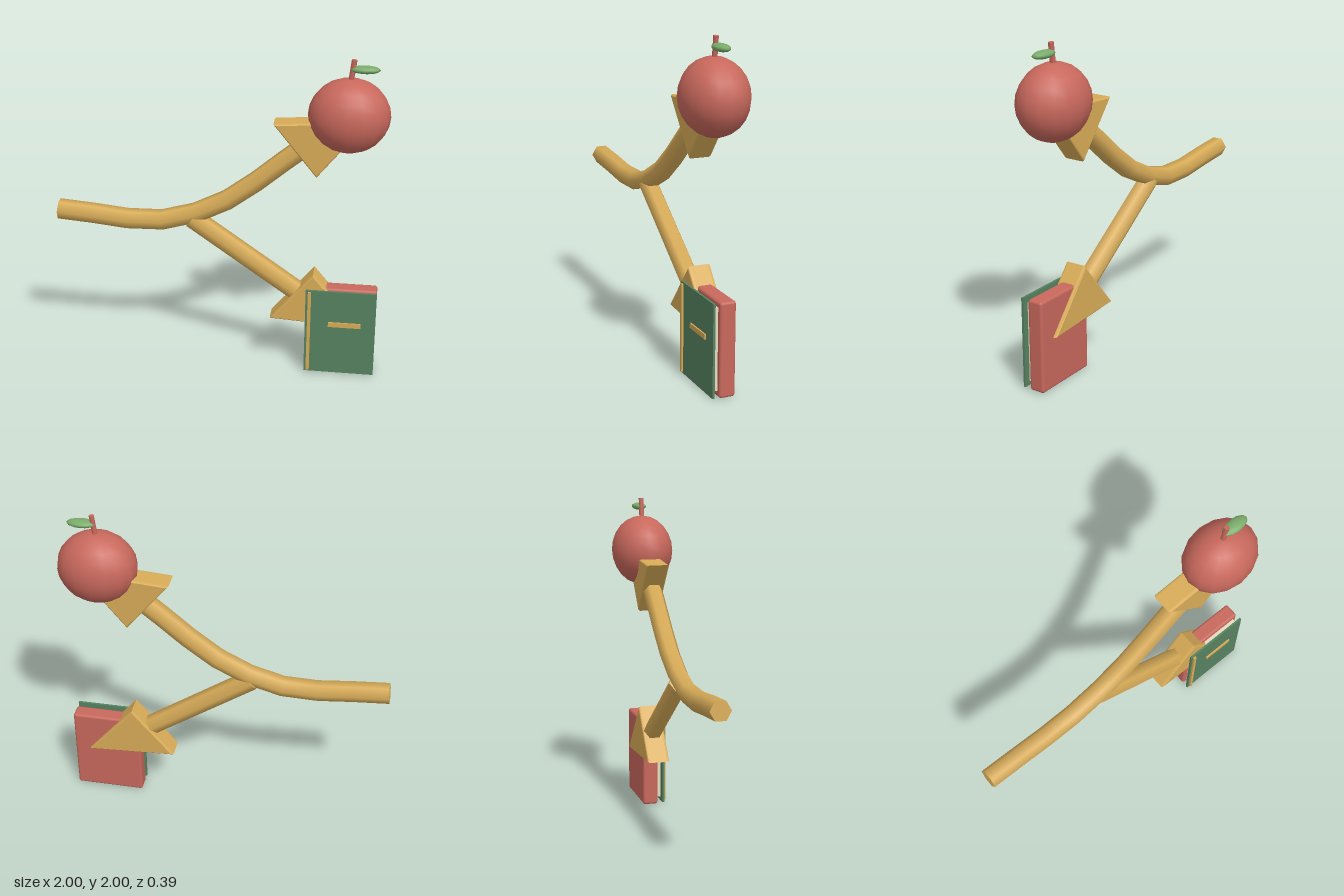
import * as THREE from 'three';
import { RoundedBoxGeometry } from 'three/addons/geometries/RoundedBoxGeometry.js';

const material = (name, color) => {
  const m = new THREE.MeshStandardMaterial({ color });
  m.name = name;
  return m;
};

export function createModel() {
  const gold = material('gold', 0xd8ac58);
  const red = material('red', 0xc8685c);
  const green = material('bookGreen', 0x568260);
  const leafGreen = material('leafGreen', 0x7aab6a);
  const cream = material('cream', 0xe8ddc0);

  const model = new THREE.Group();
  model.name = 'forkedArrow';

  const add = (parent, name, geometry, mat, x = 0, y = 0, z = 0) => {
    const mesh = new THREE.Mesh(geometry, mat);
    mesh.name = name;
    mesh.position.set(x, y, z);
    parent.add(mesh);
    return mesh;
  };
  const group = (name) => {
    const g = new THREE.Group();
    g.name = name;
    model.add(g);
    return g;
  };

  // Hexagonal rod along a curve in the xy plane, with a cap on its open start
  const rodRadius = 0.063;
  function addRod(name, curve, segments) {
    const g = group(name);
    add(g, name + 'Shaft', new THREE.TubeGeometry(curve, segments, rodRadius, 6), gold);
    const t = curve.getTangentAt(0), p = curve.getPointAt(0);
    const cap = new THREE.CircleGeometry(rodRadius, 6);
    cap.rotateY(-Math.PI / 2);
    cap.rotateZ(Math.atan2(t.y, t.x));
    add(g, name + 'Cap', cap, gold, p.x, p.y, p.z);
  }
  const path = [[-1, 0.975], [-0.8, 0.96], [-0.6, 0.938], [-0.4, 0.935], [-0.2, 0.98],
    [0.02, 1.08], [0.22, 1.225], [0.42, 1.395], [0.55, 1.5]];
  addRod('upperRod', new THREE.CatmullRomCurve3(path.map(([x, y]) => new THREE.Vector3(x, y, 0))), 8);
  addRod('lowerRod', new THREE.LineCurve3(
    new THREE.Vector3(-0.17, 0.965, 0), new THREE.Vector3(0.55, 0.465, 0)), 1);

  // Bevelled triangular arrowheads
  function addArrowhead(name, corners) {
    const shape = new THREE.Shape(corners.map(([x, y]) => new THREE.Vector2(x, y)));
    const geometry = new THREE.ExtrudeGeometry(shape, {
      depth: 0.11, bevelThickness: 0.015, bevelSize: 0.012, bevelOffset: -0.012, bevelSegments: 2,
    });
    add(model, name, geometry, gold, 0, 0, -0.055);
  }
  addArrowhead('upperArrowhead', [[0.32, 1.61], [0.58, 1.29], [0.87, 1.65]]);
  addArrowhead('lowerArrowhead', [[0.58, 0.66], [0.32, 0.345], [0.87, 0.315]]);

  // Fruit with a leaning stem and one leaf
  const fruit = group('fruit');
  add(fruit, 'fruitBody', new THREE.SphereGeometry(1, 16, 12), red, 0.755, 1.665, 0)
    .scale.set(0.24, 0.222, 0.195);
  add(fruit, 'stem', new THREE.CylinderGeometry(0.016, 0.016, 0.14, 8), red, 0.763, 1.929, 0)
    .rotation.z = -0.12;
  add(fruit, 'leaf', new THREE.SphereGeometry(1, 12, 8), leafGreen, 0.835, 1.943, 0)
    .scale.set(0.087, 0.023, 0.043);

  // Book: thick back, recessed pages, thin front cover with gold trim
  const book = group('book');
  add(book, 'bookBack', new RoundedBoxGeometry(0.43, 0.563, 0.098, 2, 0.016), red, 0.755, 0.2825, 0);
  add(book, 'pages', new THREE.BoxGeometry(0.37, 0.49, 0.026), cream, 0.755, 0.285, 0.06);
  add(book, 'frontCover', new THREE.BoxGeometry(0.43, 0.556, 0.014), green, 0.755, 0.287, 0.086);
  add(book, 'spineStrip', new THREE.BoxGeometry(0.02, 0.535, 0.012), gold, 0.564, 0.288, 0.099);
  add(book, 'titleBar', new THREE.BoxGeometry(0.2, 0.03, 0.009), gold, 0.782, 0.345, 0.0975);

  return model;
}
